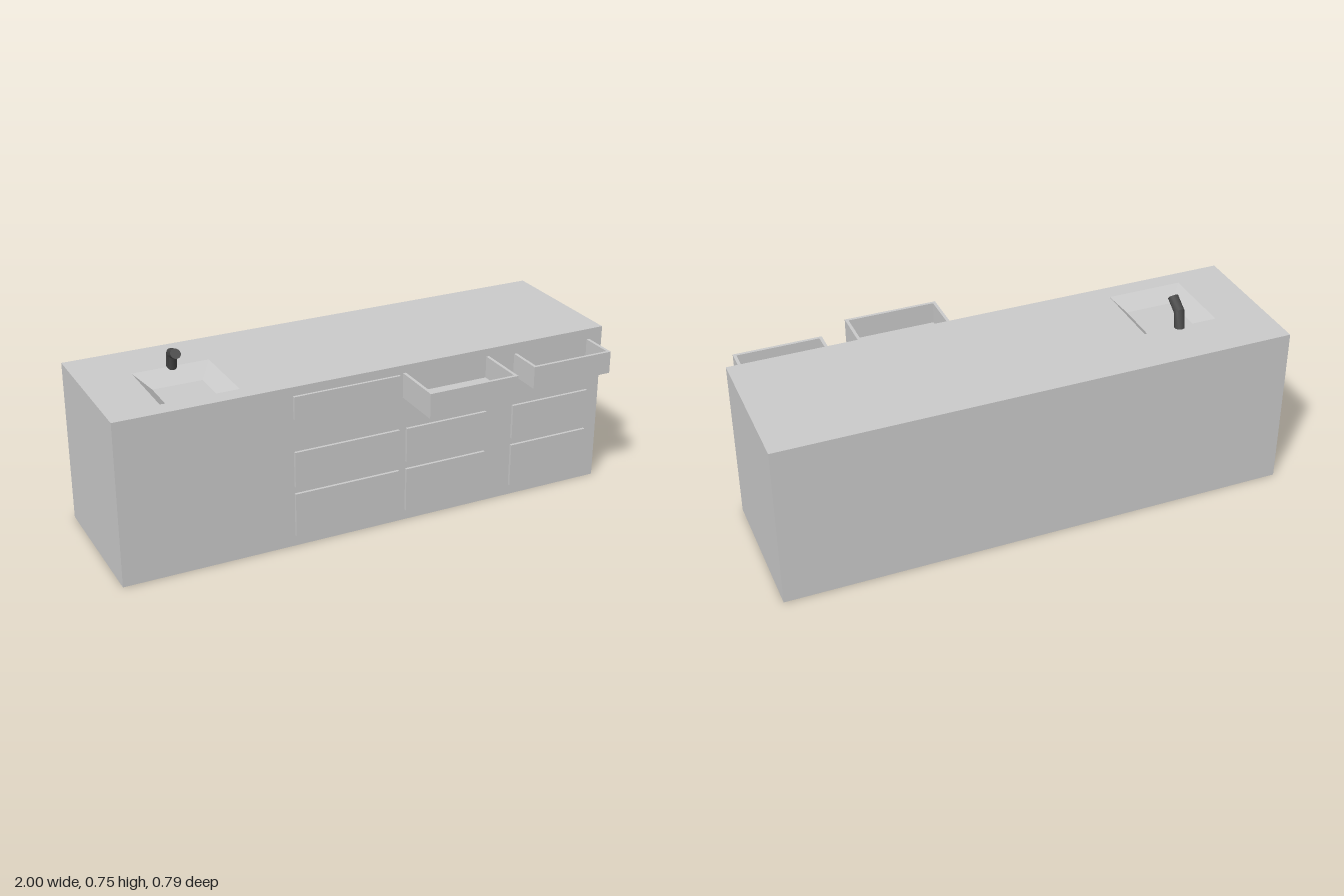
import * as THREE from 'three';
import { toCreasedNormals } from 'three/addons/utils/BufferGeometryUtils.js';

const grey = new THREE.MeshStandardMaterial({ color: 0xcccccc });
const greyThin = new THREE.MeshStandardMaterial({ color: 0xcccccc, side: THREE.DoubleSide });
const dark = new THREE.MeshStandardMaterial({ color: 0x484848, side: THREE.DoubleSide });

const FRONT = 0.185, BACK = -0.395, TOP = 0.647, SINK_DEPTH = 0.05;

// Box given by its two extreme corners
function box(name, x0, x1, y0, y1, z0, z1) {
  const mesh = new THREE.Mesh(new THREE.BoxGeometry(x1 - x0, y1 - y0, z1 - z0), grey);
  mesh.position.set((x0 + x1) / 2, (y0 + y1) / 2, (z0 + z1) / 2);
  mesh.name = name;
  return mesh;
}

// Skin over a list of equally long rings of points; optionally closes the last ring
function loft(rings, capEnd) {
  const n = rings[0].length, points = [];
  const tri = (...corners) => corners.forEach((p) => points.push(p));
  for (let r = 0; r < rings.length - 1; r++) {
    const a = rings[r], b = rings[r + 1];
    for (let i = 0; i < n; i++) {
      const j = (i + 1) % n;
      tri(a[i], a[j], b[j], a[i], b[j], b[i]);
    }
  }
  if (capEnd) {
    const end = rings[rings.length - 1];
    for (let i = 1; i < n - 1; i++) tri(end[0], end[i], end[i + 1]);
  }
  const geometry = new THREE.BufferGeometry().setFromPoints(points);
  geometry.computeVertexNormals();
  return geometry;
}

function rectRing(x0, x1, z0, z1, y) {
  return [[x0, z1], [x1, z1], [x1, z0], [x0, z0]].map(([x, z]) => new THREE.Vector3(x, y, z));
}

// Countertop slab with a rectangular sink opening
function createCountertop() {
  const rect = (target, x0, x1, z0, z1) =>
    target.setFromPoints([[x0, z1], [x1, z1], [x1, z0], [x0, z0]].map(([x, z]) => new THREE.Vector2(x, -z)));
  const shape = rect(new THREE.Shape(), -1, 1, BACK, FRONT);
  shape.holes.push(rect(new THREE.Path(), -0.8, -0.5, -0.185, 0.115));
  const geometry = new THREE.ExtrudeGeometry(shape, { depth: SINK_DEPTH, bevelEnabled: false });
  geometry.rotateX(-Math.PI / 2).translate(0, TOP - SINK_DEPTH, 0);
  const mesh = new THREE.Mesh(geometry, grey);
  mesh.name = 'countertop';
  return mesh;
}

// Sloping sink walls; the cabinet top is the sink floor
function createBasin() {
  const mesh = new THREE.Mesh(loft([
    rectRing(-0.8, -0.5, -0.185, 0.115, TOP),
    rectRing(-0.745, -0.55, -0.125, 0.06, TOP - SINK_DEPTH),
  ]), greyThin);
  mesh.name = 'sinkBasin';
  return mesh;
}

// Bent spout: each station has a centre and a half-width vector in the yz plane
function createFaucet() {
  const stations = [
    { c: [-0.643, 0.625, -0.195], h: [0, 0.02] },
    { c: [-0.648, 0.705, -0.171], h: [-0.015, 0.014] },
    { c: [-0.657, 0.73, -0.102], h: [-0.015, 0.0135] },
  ];
  const sides = 16;
  const rings = stations.map(({ c, h }) => Array.from({ length: sides }, (_, i) => {
    const a = (i / sides) * Math.PI * 2;
    return new THREE.Vector3(
      c[0] + 0.02 * Math.cos(a), c[1] + h[0] * Math.sin(a), c[2] + h[1] * Math.sin(a));
  }));
  const mesh = new THREE.Mesh(toCreasedNormals(loft(rings, true), 0.6), dark);
  mesh.name = 'faucet';
  return mesh;
}

// Pulled-out drawer: floor, two sides and a front, open at the top
function createOpenDrawer(x0, x1, y0, y1, z1) {
  const t = 0.012, drawer = new THREE.Group();
  drawer.name = 'openDrawer';
  drawer.add(
    box('drawerFloor', x0 + t, x1 - t, y0, y0 + t, FRONT, z1 - t),
    box('drawerRightSide', x0, x0 + t, y0, y1, FRONT, z1 - t),
    box('drawerLeftSide', x1 - t, x1, y0, y1, FRONT, z1 - t),
    box('drawerFront', x0, x1, y0, y1, z1 - t, z1),
  );
  return drawer;
}

export function createModel() {
  const model = new THREE.Group();
  model.name = 'kitchenCounter';
  model.add(
    box('cabinet', -1, 1, 0, TOP - SINK_DEPTH, BACK, FRONT),
    createCountertop(),
    createBasin(),
    createFaucet(),
  );

  // Closed drawer fronts in three columns and two rows, plus one in the top row
  const columns = [[-0.325, 0.105], [0.135, 0.48], [0.6, 0.943]];
  const rows = [[0.043, 0.22], [0.25, 0.39]];
  for (const [x0, x1] of columns) {
    for (const [y0, y1] of rows) model.add(box('drawerPanel', x0, x1, y0, y1, FRONT, 0.196));
  }
  model.add(box('drawerPanel', -0.325, 0.105, 0.522, 0.612, FRONT, 0.196));

  // Two drawers left open
  model.add(
    createOpenDrawer(0.12, 0.488, 0.518, 0.616, 0.395),
    createOpenDrawer(0.6, 0.943, 0.516, 0.604, 0.33),
  );
  return model;
}
